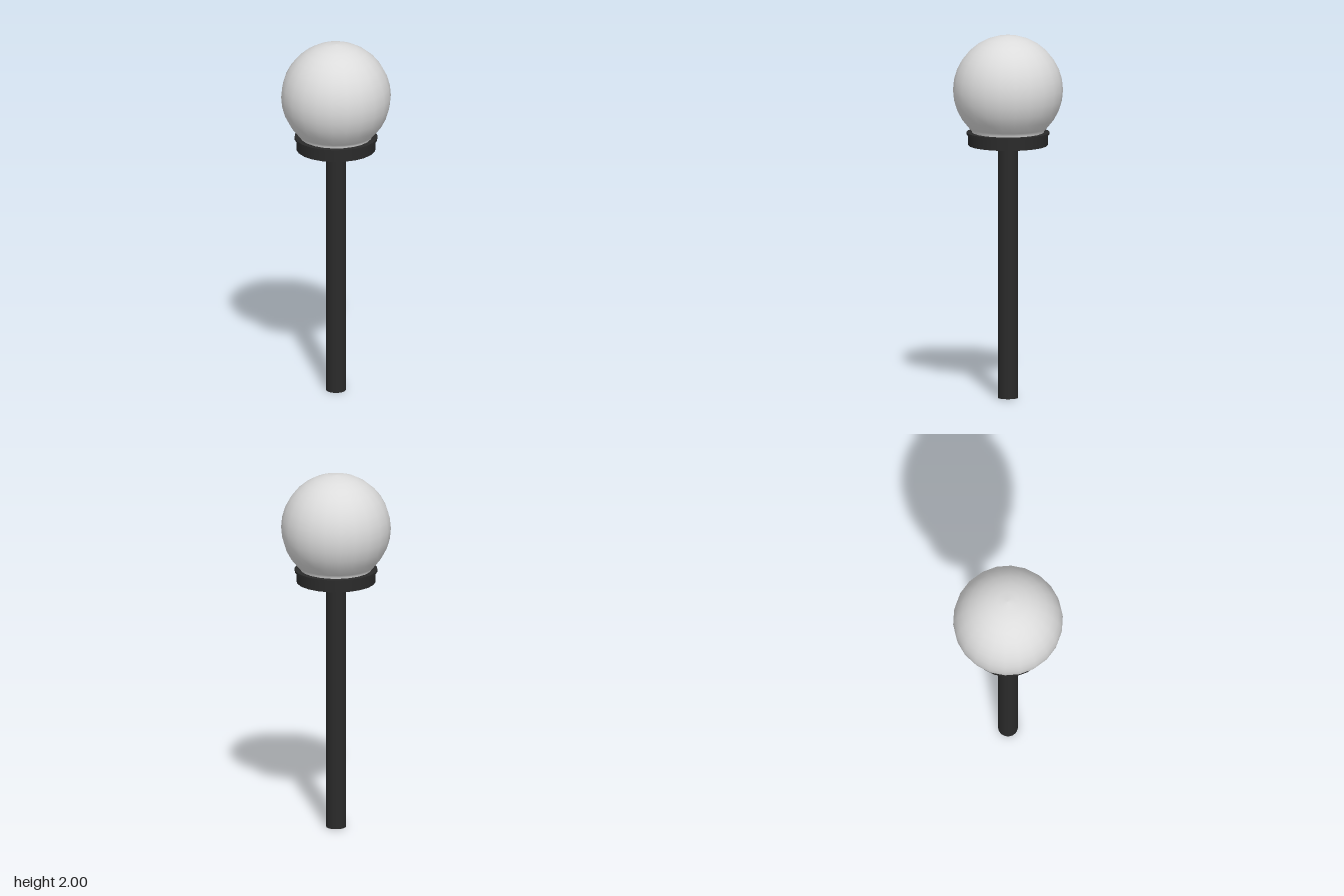
import * as THREE from 'three';

const SIDES = 22;

export function createModel() {
  const group = new THREE.Group();
  const black = new THREE.MeshStandardMaterial({ color: 0x2a2a2a });
  black.name = 'black metal';
  const white = new THREE.MeshStandardMaterial({ color: 0xdcdcdc, side: THREE.DoubleSide });
  white.name = 'frosted glass';

  function add(name, geometry, material, y = 0) {
    const mesh = new THREE.Mesh(geometry, material);
    mesh.name = name;
    mesh.position.y = y;
    group.add(mesh);
  }

  // Post
  add('post', new THREE.CylinderGeometry(0.054, 0.054, 1.4, SIDES), black, 0.7);

  // Globe holder: round dish with a thin projecting lip
  add('holder', new THREE.CylinderGeometry(0.217, 0.217, 0.065, SIDES), black, 1.4275);
  add('holderLip', new THREE.CylinderGeometry(0.227, 0.227, 0.012, SIDES), black, 1.46);

  // Globe: sphere outline ending in a short straight neck
  const profile = [new THREE.Vector2(0.196, 1.44), new THREE.Vector2(0.196, 1.472)];
  for (let i = 12; i >= 0; i--) {
    const a = (i / 16) * Math.PI;
    profile.push(new THREE.Vector2(i ? 0.3 * Math.sin(a) : 0, 1.7 + 0.3 * Math.cos(a)));
  }
  add('globe', new THREE.LatheGeometry(profile, SIDES), white);

  return group;
}
